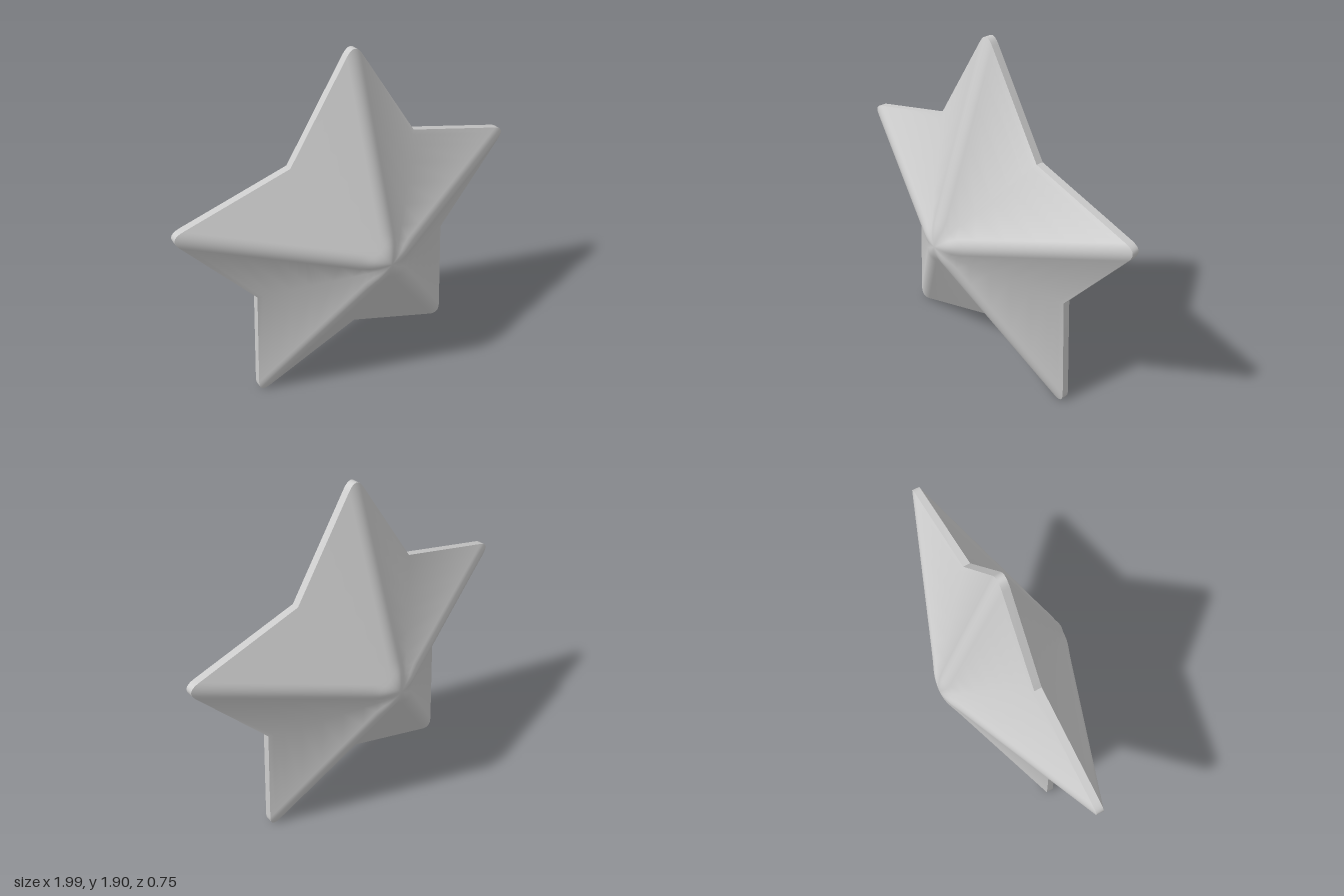
import * as THREE from 'three';
import { toCreasedNormals } from 'three/addons/utils/BufferGeometryUtils.js';

const ARMS = 5, TIP = 1.08, SLOPE = 1.54; // unrounded tip radius, narrowing of an arm
const VALLEY = 0.63, FILLET = 0.044, STEPS = 4;
const RIM = 0.02, HEIGHT = 0.385, CROWN = 0.15; // half rim thickness, dome height, rounding of the peak
const LEVELS = [0.03, 0.06, 0.09, 0.12, 0.15, 0.2, 0.3, 0.45, 0.6, 0.75, 0.88, 0.96, 1];

// One star-shaped ring, counterclockwise, with rounded tips and sharp valleys
function ring(t) {
  const pts = [];
  const w = Math.min(FILLET, 0.25 * t);
  for (let a = 0; a < ARMS; a++) {
    const ang = (a * 2 * Math.PI) / ARMS;
    const s = Math.sin(ang), c = Math.cos(ang);
    for (let j = -STEPS; j <= STEPS; j++) {
      const v = (w * j) / STEPS;
      const u = TIP * t - SLOPE * ((v * v) / (2 * w) + w / 2);
      pts.push([-s * u - c * v, c * u - s * v]);
    }
    const mid = ang + Math.PI / ARMS;
    pts.push([-Math.sin(mid) * VALLEY * t, Math.cos(mid) * VALLEY * t]);
  }
  return pts;
}

// Height of the surface, flattening smoothly towards the peak
function heightAt(t) {
  const g = t < CROWN ? (t * t) / (2 * CROWN) + CROWN / 2 : t;
  return RIM + HEIGHT * (1 - g);
}

function buildGeometry(positions, index) {
  const geo = new THREE.BufferGeometry();
  geo.setAttribute('position', new THREE.Float32BufferAttribute(positions, 3));
  geo.setIndex(index);
  geo.computeVertexNormals();
  return geo;
}

// Domed half; side is 1 for the front and -1 for the back
function starFace(side) {
  const pos = [0, 0, side * heightAt(0)], idx = [];
  const tri = (a, b, c) => (side > 0 ? idx.push(a, b, c) : idx.push(a, c, b));
  const n = ring(1).length;
  LEVELS.forEach((t, i) => {
    for (const [x, y] of ring(t)) pos.push(x, y, side * heightAt(t));
    for (let j = 0; j < n; j++) {
      const k = (j + 1) % n;
      const o = 1 + i * n, p = o - n;
      if (i === 0) tri(0, o + j, o + k);
      else {
        tri(p + j, o + j, o + k);
        tri(p + j, o + k, p + k);
      }
    }
  });
  return buildGeometry(pos, idx);
}

// Thin band joining the two halves
function rimBand() {
  const pos = [], idx = [], pts = ring(1), n = pts.length;
  pts.forEach(([x, y], j) => {
    pos.push(x, y, RIM, x, y, -RIM);
    const a = 2 * j, b = 2 * ((j + 1) % n);
    idx.push(a, a + 1, b + 1, a, b + 1, b);
  });
  return toCreasedNormals(buildGeometry(pos, idx), 0.6);
}

export function createModel() {
  const group = new THREE.Group();
  group.name = 'star';
  const material = new THREE.MeshStandardMaterial({ color: 0xcccccc });
  const rim = rimBand();
  rim.computeBoundingBox();
  const lift = -rim.boundingBox.min.y;
  const parts = { frontFace: starFace(1), backFace: starFace(-1), rim };
  for (const [name, geo] of Object.entries(parts)) {
    const mesh = new THREE.Mesh(geo, material);
    mesh.name = name;
    mesh.position.y = lift;
    group.add(mesh);
  }
  return group;
}
